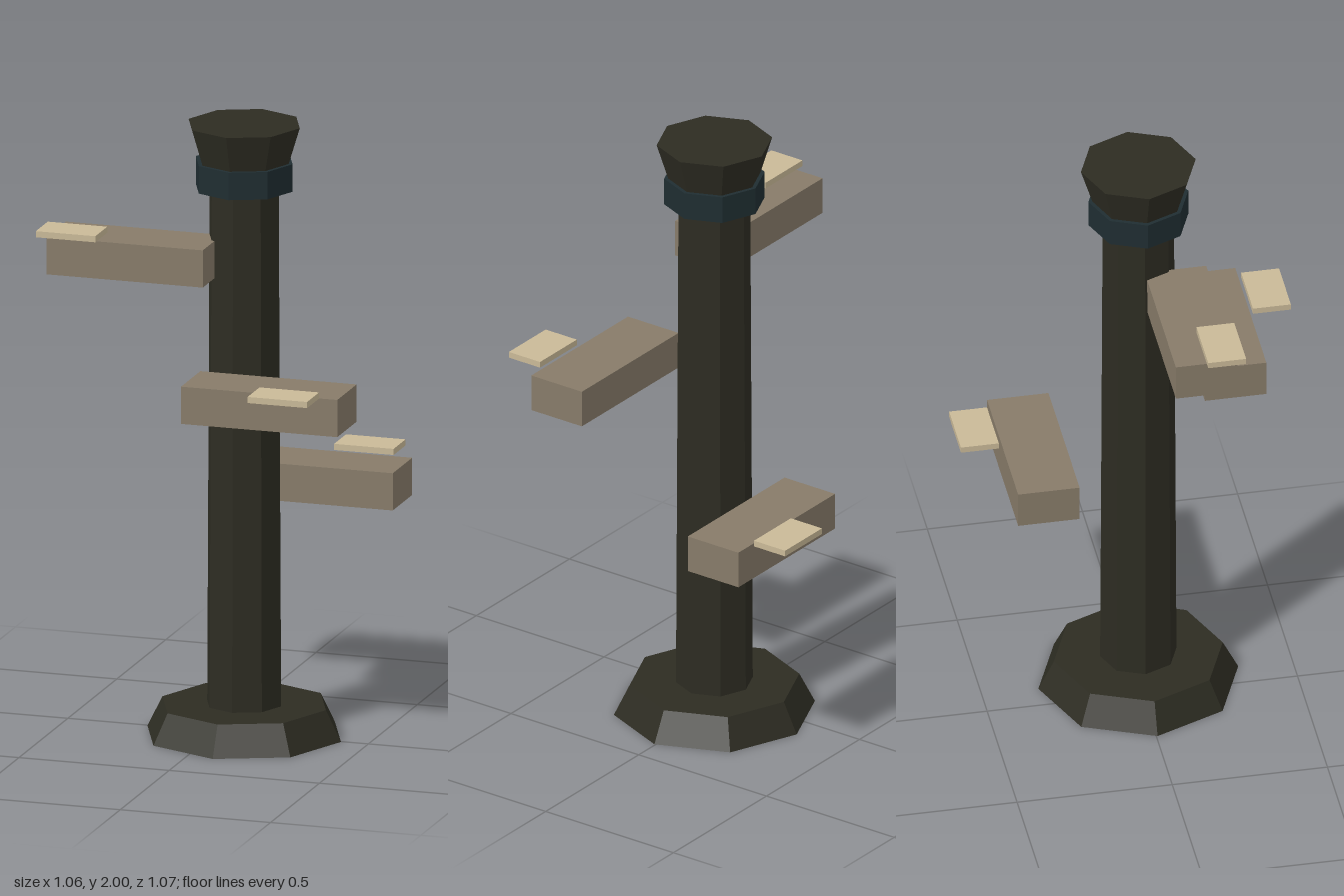
import * as THREE from 'three';

const material = (name, color) => {
  const m = new THREE.MeshStandardMaterial({ color, flatShading: true });
  m.name = name;
  return m;
};

export function createModel() {
  const model = new THREE.Group();
  model.name = 'steppedPillar';
  const stone = material('dark stone', 0x2d2c22);
  const iron = material('blue iron', 0x1f2d31);
  const wood = material('weathered wood', 0x877b69);
  const pale = material('pale wood', 0xc9b997);

  const add = (name, geometry, mat, x, y, z, parent = model) => {
    const mesh = new THREE.Mesh(geometry, mat);
    mesh.name = name;
    mesh.position.set(x, y, z);
    parent.add(mesh);
  };

  // Eight-sided pillar, stacked from the ground up
  const pillar = new THREE.Group();
  pillar.name = 'pillar';
  pillar.position.set(0.088, 0, 0.004);
  model.add(pillar);
  const section = (name, rBottom, rTop, y0, y1, mat) => add(name,
    new THREE.CylinderGeometry(rTop, rBottom, y1 - y0, 8), mat, 0, (y0 + y1) / 2, 0, pillar);
  section('base', 0.322, 0.272, 0, 0.1, stone);
  section('shaft', 0.123, 0.115, 0.1, 1.79, stone);
  section('collar', 0.161, 0.161, 1.79, 1.88, iron);
  section('capital', 0.148, 0.185, 1.88, 2, stone);

  // Beams, each with a thin board near its outer end: [beam centre, board centre]
  const steps = [
    [[-0.243, 1.57, 0.11], [-0.432, 1.644, 0.171]],
    [[0.267, 1.172, 0.302], [0.37, 1.245, 0.47]],
    [[0.255, 0.775, -0.302], [0.35, 0.846, -0.475]],
  ];
  for (const [beam, board] of steps) {
    add('beam', new THREE.BoxGeometry(0.52, 0.122, 0.198), wood, ...beam);
    add('board', new THREE.BoxGeometry(0.198, 0.02, 0.122), pale, ...board);
  }
  return model;
}
